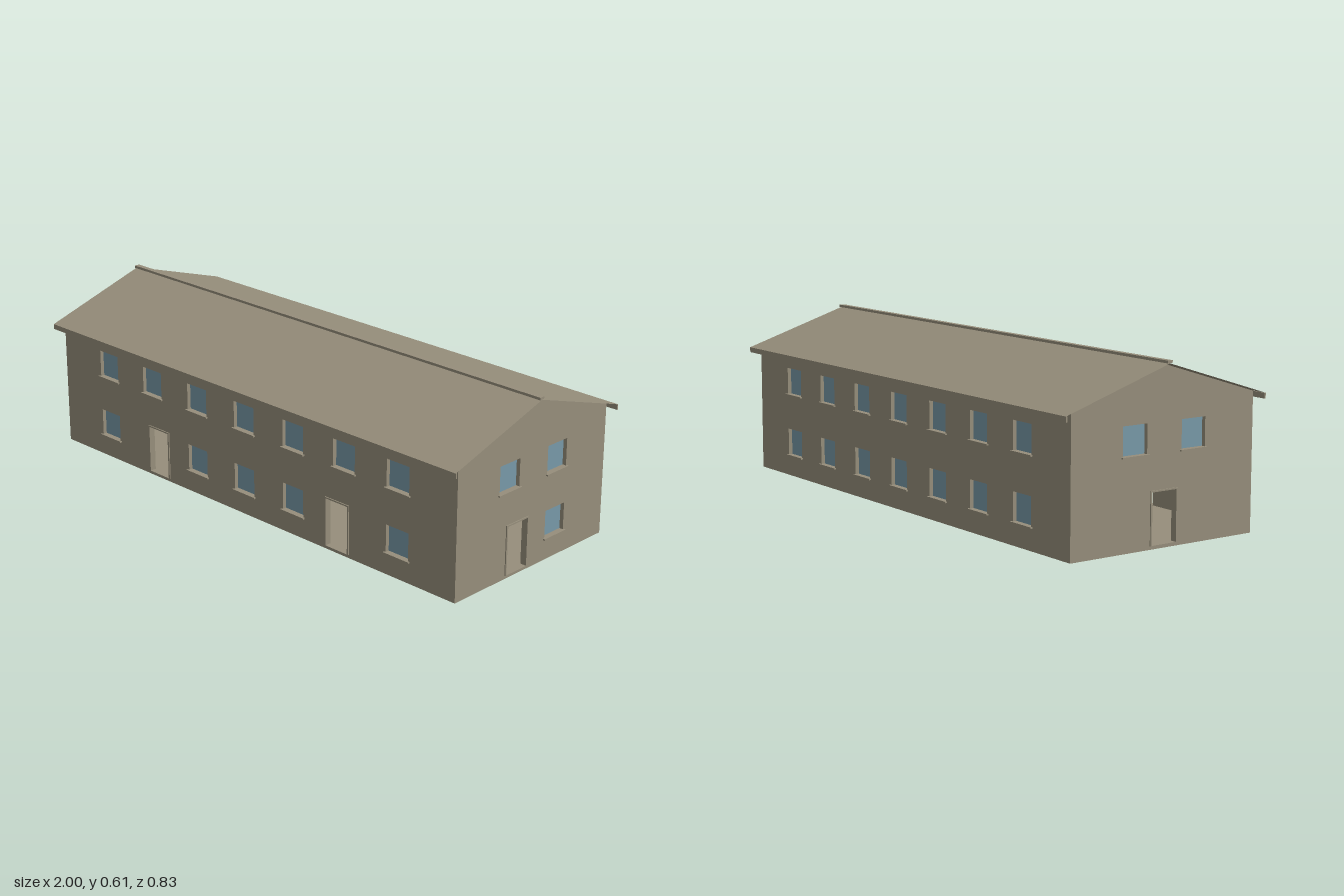
import * as THREE from 'three';

const HALF_X = 0.978, HALF_Z = 0.377;     // outer faces of the walls
const EAVE = 0.477, RIDGE = 0.595;        // wall heights
const T = 0.02;                           // wall thickness
const FLOOR = 0.012;
const WIN = 0.099, DOOR_W = 0.1, DOOR_TOP = 0.187;
const UPPER = 0.313, LOWER = 0.08;        // window bottoms

const stone = new THREE.MeshStandardMaterial({ color: 0x968e7b });
stone.name = 'stone';
stone.side = THREE.DoubleSide;
const glass = new THREE.MeshStandardMaterial({ color: 0x7899a8 });
glass.name = 'window glass';

function addMesh(parent, name, geometry, material, x = 0, y = 0, z = 0) {
  const mesh = new THREE.Mesh(geometry, material);
  mesh.name = name;
  mesh.position.set(x, y, z);
  parent.add(mesh);
  return mesh;
}

function rect(Type, x0, y0, x1, y1) {
  return new Type([[x0, y0], [x1, y0], [x1, y1], [x0, y1]].map(p => new THREE.Vector2(...p)));
}

const extrude = (shape, depth) => new THREE.ExtrudeGeometry(shape, { depth, bevelEnabled: false });

// One wall with its openings; the outer face lies on local z = 0 and faces +z.
function makeWall(name, outline, windows, doors) {
  const wall = new THREE.Group();
  wall.name = name;
  const shape = new THREE.Shape(outline.map(p => new THREE.Vector2(...p)));
  const h = WIN / 2;

  for (const [u, y] of windows) {
    shape.holes.push(rect(THREE.Path, u - h, y, u + h, y + WIN));
    addMesh(wall, 'windowPane', new THREE.BoxGeometry(WIN, WIN, 0.005), glass, u, y + h, -T + 0.003);
    addMesh(wall, 'windowSill', new THREE.BoxGeometry(0.112, 0.005, T + 0.008), stone, u, y - 0.0025, (0.008 - T) / 2);
  }

  // Open doorways with a slim surround
  for (const u of doors) {
    const d = DOOR_W / 2;
    shape.holes.push(rect(THREE.Path, u - d, FLOOR + 0.001, u + d, DOOR_TOP));
    const frame = rect(THREE.Shape, u - d - 0.006, FLOOR, u + d + 0.006, DOOR_TOP + 0.005);
    frame.holes.push(rect(THREE.Path, u - d, FLOOR + 0.001, u + d, DOOR_TOP));
    addMesh(wall, 'doorFrame', extrude(frame, 0.004), stone);
  }

  addMesh(wall, 'wallPanel', extrude(shape, T), stone, 0, 0, -T);
  return wall;
}

export function createModel() {
  const model = new THREE.Group();
  model.name = 'longHouse';

  // Long walls fit between the gable walls
  const L = HALF_X - T;
  const longOutline = [[-L, 0], [L, 0], [L, EAVE], [-L, EAVE]];
  const columns = [-0.725, -0.483, -0.242, 0, 0.242, 0.483, 0.725];
  const upperRow = columns.map(x => [x, UPPER]);
  const lowerRow = columns.map(x => [x, LOWER]);

  const front = makeWall('frontWall', longOutline,
    [...upperRow, ...lowerRow.filter(([x]) => Math.abs(Math.abs(x) - 0.483) > 0.01)], [-0.452, 0.452]);
  front.position.z = HALF_Z;

  const back = makeWall('backWall', longOutline, [...upperRow, ...lowerRow], []);
  back.position.z = -HALF_Z;
  back.rotation.y = Math.PI;

  // Gable walls
  const gableOutline = [[-HALF_Z, 0], [HALF_Z, 0], [HALF_Z, EAVE], [0, RIDGE], [-HALF_Z, EAVE]];
  const gableTop = [[-0.121, UPPER], [0.121, UPPER]];

  const plusX = makeWall('leftGableWall', gableOutline, [...gableTop, [0.121, LOWER]], [-0.075]);
  plusX.position.x = HALF_X;
  plusX.rotation.y = Math.PI / 2;

  const minusX = makeWall('rightGableWall', gableOutline, gableTop, [0]);
  minusX.position.x = -HALF_X;
  minusX.rotation.y = -Math.PI / 2;

  model.add(front, back, plusX, minusX);

  // Ground floor slab inside the walls
  addMesh(model, 'floorSlab', new THREE.BoxGeometry(2 * L, FLOOR, 2 * (HALF_Z - T)), stone, 0, FLOOR / 2, 0);

  // Thin roof slopes with an eave board on each side
  const run = 0.412, top = 0.6, low = 0.47;
  const angle = Math.atan2(top - low, run);
  for (const s of [1, -1]) {
    const slope = addMesh(model, s > 0 ? 'frontRoofSlope' : 'backRoofSlope',
      new THREE.PlaneGeometry(2, Math.hypot(run, top - low)).rotateX(-Math.PI / 2),
      stone, 0, (top + low) / 2, s * run / 2);
    slope.rotation.x = s * angle;
    addMesh(model, 'eaveBoard', new THREE.BoxGeometry(2, 0.019, 0.005), stone, 0, 0.46, s * 0.411);
  }

  // Ridge cap
  addMesh(model, 'ridgeCap', new THREE.BoxGeometry(2, 0.009, 0.02), stone, 0, 0.605, 0);

  return model;
}
